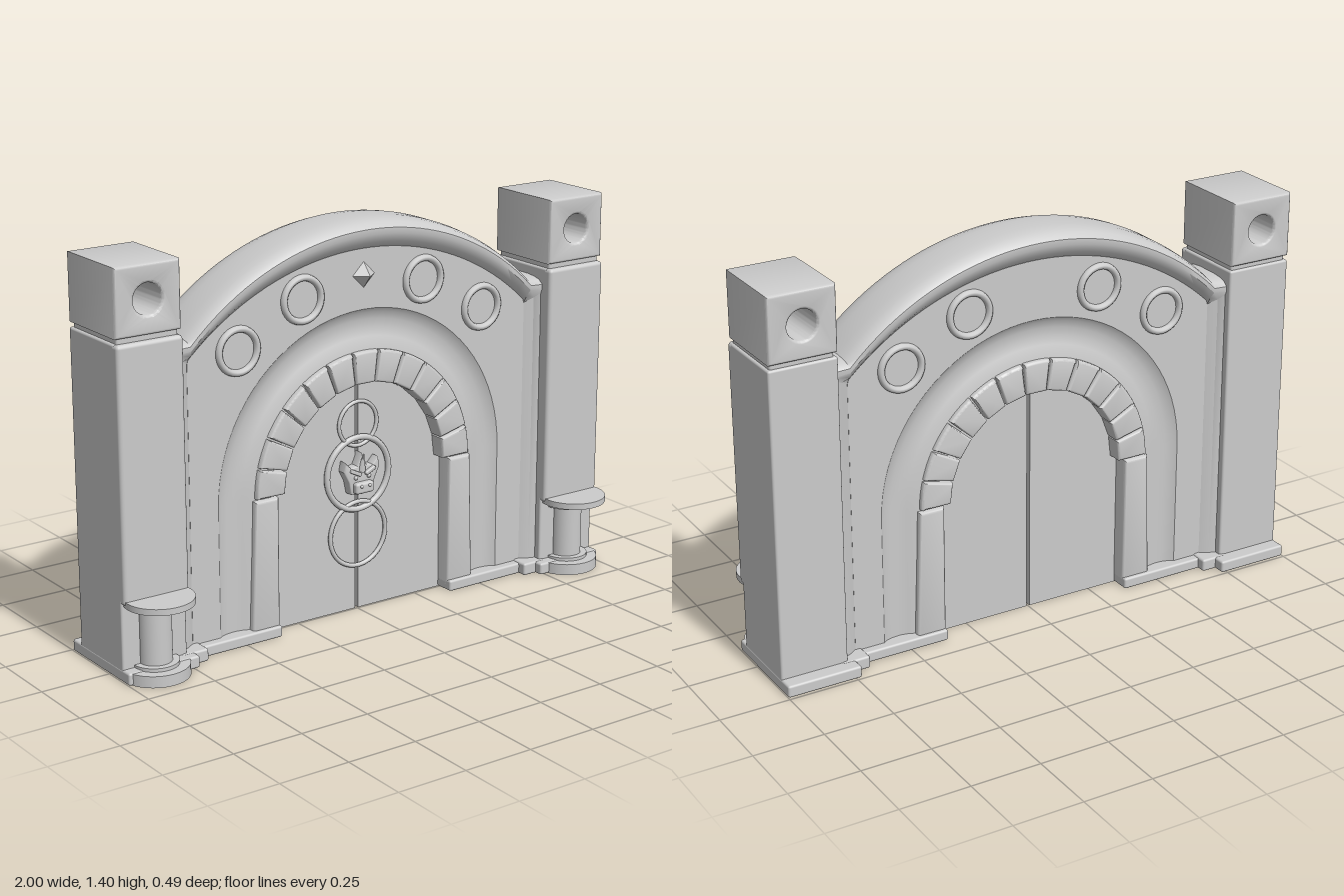
import * as THREE from 'three';
import { toCreasedNormals } from 'three/addons/utils/BufferGeometryUtils.js';
import { RoundedBoxGeometry } from 'three/addons/geometries/RoundedBoxGeometry.js';

const material = new THREE.MeshStandardMaterial({ color: 0xcccccc, side: THREE.DoubleSide });

function add(parent, name, geometry, x = 0, y = 0, z = 0) {
  const mesh = new THREE.Mesh(geometry, material);
  mesh.name = name;
  mesh.position.set(x, y, z);
  parent.add(mesh);
  return mesh;
}

// Box given by its limits on each axis, with softened edges
function block(parent, name, [x0, x1], [y0, y1], [z0, z1], r = 0.008) {
  const g = new RoundedBoxGeometry(x1 - x0, y1 - y0, z1 - z0, 2, r);
  return add(parent, name, g, (x0 + x1) / 2, (y0 + y1) / 2, (z0 + z1) / 2);
}

// Shape extruded evenly to both sides of z = 0
function slab(shape, half, bevel = 0) {
  const g = new THREE.ExtrudeGeometry(shape, {
    depth: 2 * (half - bevel), curveSegments: 32, bevelEnabled: bevel > 0,
    bevelThickness: bevel, bevelSize: bevel, bevelOffset: -bevel, bevelSegments: 3,
  });
  return toCreasedNormals(g.translate(0, 0, -(half - bevel)), 0.6);
}

function polygon(points) {
  return new THREE.Shape(points.map(([x, y]) => new THREE.Vector2(x, y)));
}

// Surface through rows of [x, y, z] points
function loft(rows) {
  const n = rows[0].length, index = [];
  for (let i = 0; i < rows.length - 1; i++) {
    for (let j = 0; j < n - 1; j++) {
      const a = i * n + j, b = a + n;
      index.push(a, a + 1, b, b, a + 1, b + 1);
    }
  }
  const g = new THREE.BufferGeometry();
  g.setAttribute('position', new THREE.Float32BufferAttribute(rows.flat(2), 3));
  g.setIndex(index);
  return toCreasedNormals(g, 0.6);
}

// Front profile repeated in reverse for the back
const bothFaces = (p) => [...p, ...p.slice().reverse().map(([a, z]) => [a, -z])];

// Doorway arch: straight legs and a half circle
const springY = 0.5;
function archPath(r, bottom = 0) {
  const pts = [[r, bottom]];
  for (let i = 0; i <= 40; i++) {
    const a = Math.PI * i / 40;
    pts.push([r * Math.cos(a), springY + r * Math.sin(a)]);
  }
  pts.push([-r, bottom]);
  return pts;
}

// Gable outline: legs at legX and a shallow arc between them
function gablePath(legX, legTop, arcX, top, R) {
  const pts = [[legX, 0], [legX, legTop]];
  for (let i = 0; i <= 40; i++) {
    const x = arcX * (1 - i / 20);
    pts.push([x, top - R + Math.sqrt(R * R - x * x)]);
  }
  pts.push([-legX, legTop], [-legX, 0]);
  return pts;
}

function buildWall() {
  const wall = new THREE.Group();
  wall.name = 'wall';
  wall.position.z = -0.05;

  // Rounded coping over the gable and down the sides
  const outer = gablePath(0.85, 1.1, 0.71, 1.4, 0.99);
  const inner = gablePath(0.7, 1.01, 0.695, 1.3, 1.015);
  const coping = bothFaces([[0, 0], [0, 0.04], [0.04, 0.075], [0.13, 0.103], [0.3, 0.12], [0.5, 0.12], [0.8, 0.105], [1, 0.085]]);
  add(wall, 'coping', loft(coping.map(([t, z]) =>
    outer.map(([x, y], i) => [x + (inner[i][0] - x) * t, y + (inner[i][1] - y) * t, z]))));

  // Flat panel with the doorway cut out
  add(wall, 'wallPanel', slab(polygon([...inner, ...archPath(0.59).reverse()]), 0.086));

  // Stepped moulding around the doorway
  const moulding = bothFaces([[0.59, 0.086], [0.575, 0.075], [0.55, 0.068], [0.52, 0.066], [0.49, 0.072], [0.46, 0.085], [0.38, 0.085]]);
  add(wall, 'archMoulding', loft(moulding.map(([r, z]) => archPath(r).map(([x, y]) => [x, y, z]))));

  // Ring of arch stones
  const count = 13, step = Math.PI / count, gap = 0.008;
  for (let i = 0; i < count; i++) {
    const a0 = i * step + gap, a1 = (i + 1) * step - gap;
    const stone = new THREE.Shape();
    stone.absarc(0, springY, 0.447, a0, a1, false);
    stone.lineTo(0.335 * Math.cos(a1), springY + 0.335 * Math.sin(a1));
    stone.lineTo(0.335 * Math.cos(a0), springY + 0.335 * Math.sin(a0));
    add(wall, 'archStone', slab(stone, 0.105, 0.01));
  }

  for (const s of [-1, 1]) {
    const jamb = [[0.36, 0.02], [0.47, 0.02], [0.455, 0.497], [0.36, 0.497]];
    add(wall, 'doorJamb', slab(polygon(jamb.map(([x, y]) => [s * x, y])), 0.105, 0.012));
    const plinth = block(wall, 'wallPlinth', [0.36, 0.7], [0, 0.04], [-0.118, 0.118]);
    plinth.position.x *= s;

    // Door leaf with a narrow gap in the middle
    const leaf = [[0.006, 0]];
    for (let i = 20; i >= 0; i--) {
      const a = Math.PI / 2 * i / 20;
      leaf.push([Math.max(0.006, 0.37 * Math.cos(a)), springY + 0.37 * Math.sin(a)]);
    }
    leaf.push([0.37, 0]);
    add(wall, 'doorLeaf', slab(polygon(leaf.map(([x, y]) => [s * x, y])), 0.045));

    // Round frames on both faces
    for (const [x, y] of [[0.505, 1.025], [0.25, 1.16]]) {
      for (const face of [-1, 1]) {
        const ring = add(wall, 'roundFrame', new THREE.TorusGeometry(0.074, 0.012, 10, 40), s * x, y, face * 0.086);
        ring.scale.z = 1.3;
      }
    }
  }
  add(wall, 'doorCore', new THREE.BoxGeometry(0.03, 0.84, 0.04), 0, 0.42, 0);

  const diamond = add(wall, 'diamond', new THREE.OctahedronGeometry(0.045), 0, 1.21, 0.086);
  diamond.scale.z = 0.85;
  return wall;
}

// Door rings and horned mask
function buildOrnament() {
  const g = new THREE.Group();
  g.name = 'doorOrnament';
  g.position.set(0, 0.5, -0.005);
  for (const [y, r, t] of [[0.18, 0.079, 0.007], [0, 0.13, 0.011], [-0.22, 0.117, 0.008]]) {
    add(g, 'ornamentRing', new THREE.TorusGeometry(r, t, 8, 48), 0, y, 0.008);
  }
  const half = [[0, -0.07], [0.045, -0.065], [0.055, -0.02], [0.075, 0.02], [0.068, 0.055], [0.045, 0.03], [0.02, 0.035], [0, 0.08]];
  const left = half.slice(1, -1).reverse().map(([x, y]) => [-x, y]);
  add(g, 'maskFace', slab(polygon([...half, ...left]), 0.022, 0.006), 0, 0, 0.012);
  block(g, 'maskMuzzle', [-0.038, 0.038], [-0.062, -0.022], [0.01, 0.055], 0.01);
  const horn = add(g, 'maskHorn', new THREE.ConeGeometry(0.016, 0.07, 8), 0, 0.05, 0.036);
  horn.rotation.x = 0.25;
  for (const s of [-1, 1]) {
    const brow = add(g, 'maskBrow', new RoundedBoxGeometry(0.045, 0.014, 0.02, 2, 0.004), s * 0.03, 0.014, 0.036);
    brow.rotation.z = s * 0.45;
    add(g, 'maskEye', new THREE.SphereGeometry(0.008, 12, 8), s * 0.027, -0.006, 0.034);
    add(g, 'maskNostril', new THREE.SphereGeometry(0.006, 10, 6), s * 0.017, -0.034, 0.055);
  }
  return g;
}

function buildTower(s) {
  const g = new THREE.Group();
  g.name = s > 0 ? 'leftTower' : 'rightTower';
  g.position.x = s * 0.877;
  const w = 0.122;
  block(g, 'towerShaft', [-w, w], [0.02, 1.135], [-0.19, 0.09]);
  block(g, 'towerFront', [-w, w], [0.268, 1.135], [0.05, 0.114], 0.014);
  block(g, 'towerNeck', [-0.112, 0.112], [1.12, 1.165], [-0.18, 0.095]);

  // Cap pierced by a round opening
  const cap = polygon([[-0.12, -0.115], [0.12, -0.115], [0.12, 0.115], [-0.12, 0.115]]);
  cap.holes.push(new THREE.Path().absarc(0, 0, 0.052, 0, Math.PI * 2, true));
  add(g, 'towerCap', slab(cap, 0.15, 0.01), 0, 1.267, -0.045);

  // Stepped foot
  const foot = block(g, 'towerFoot', [-0.147, 0.123], [0, 0.043], [-0.243, 0.13]);
  foot.position.x *= s;
  const step = block(g, 'footStep', [-0.2, -0.1], [0, 0.045], [-0.2, 0.1]);
  step.position.x *= s;

  // Small pedestal with a half-round shelf
  const disc = (name, r, y0, y1, z) =>
    add(g, name, new THREE.CylinderGeometry(r, r, y1 - y0, 40), 0, (y0 + y1) / 2, z);
  disc('pedestalFoot', 0.116, 0, 0.04, 0.09);
  disc('pedestalLowerCollar', 0.08, 0.04, 0.052, 0.09);
  disc('pedestalColumn', 0.057, 0.05, 0.25, 0.09);
  disc('pedestalUpperCollar', 0.083, 0.24, 0.262, 0.09);
  disc('pedestalShelf', 0.118, 0.262, 0.284, 0.125);
  return g;
}

export function createModel() {
  const model = new THREE.Group();
  model.name = 'archedGate';
  model.add(buildWall(), buildOrnament(), buildTower(1), buildTower(-1));
  return model;
}
